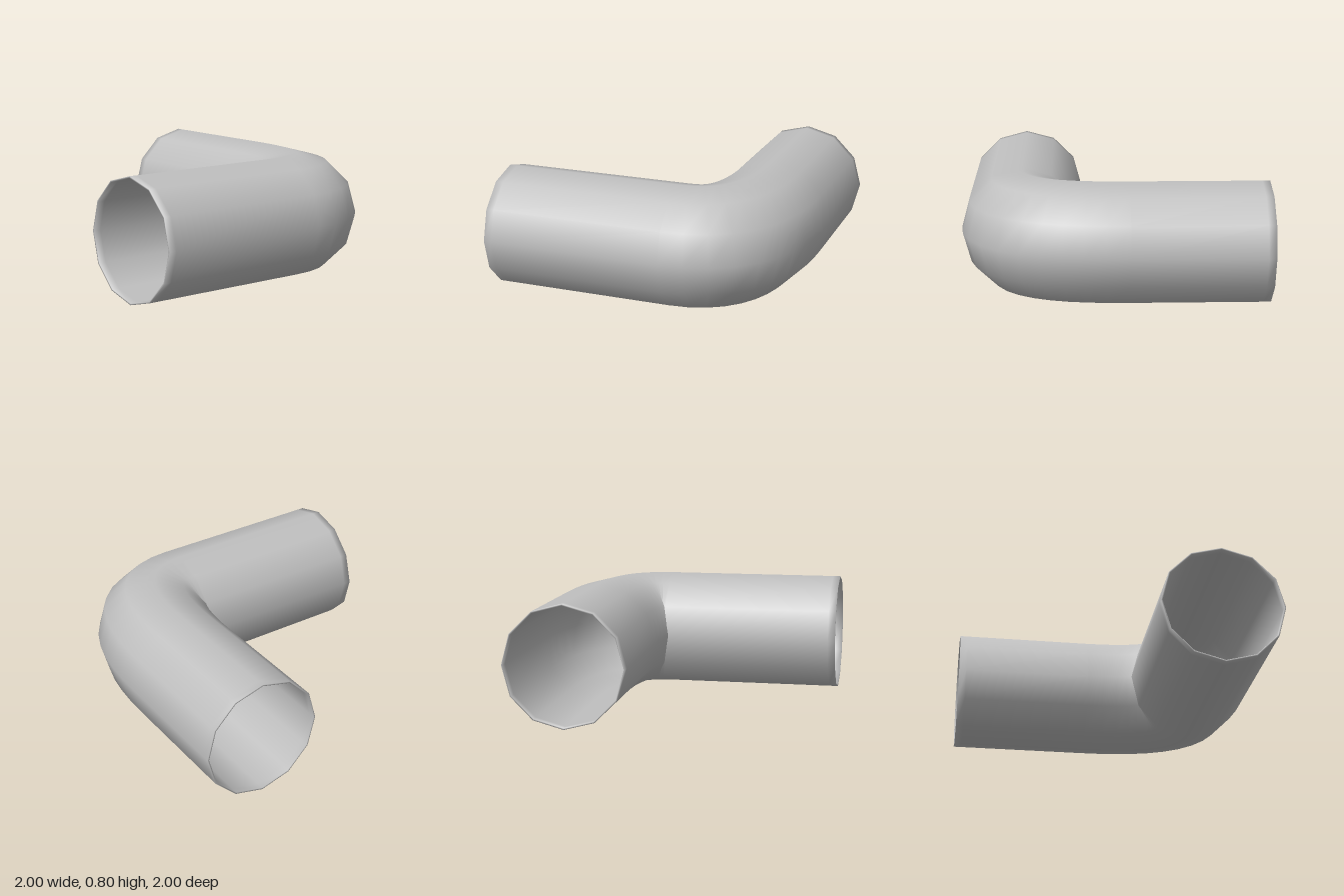
import * as THREE from 'three';

const SIDES = 12, OUTER = 0.4, INNER = 0.39, LIP = 0.05;

// Stations along the centre line: straight, smooth bend, straight
function centreLine() {
  const bend = new THREE.CubicBezierCurve3(
    new THREE.Vector3(-0.1, 0.4, -0.6), new THREE.Vector3(0.35, 0.4, -0.6),
    new THREE.Vector3(0.6, 0.4, -0.5), new THREE.Vector3(0.6, 0.4, -0.2));
  const alongX = new THREE.Vector3(1, 0, 0), alongZ = new THREE.Vector3(0, 0, 1);
  const stations = [-1, -1 + LIP].map(x => ({ p: new THREE.Vector3(x, 0.4, -0.6), t: alongX }));
  for (let i = 0; i <= 10; i++) {
    stations.push({ p: bend.getPoint(i / 10), t: bend.getTangent(i / 10) });
  }
  for (const z of [1 - LIP, 1]) stations.push({ p: new THREE.Vector3(0.6, 0.4, z), t: alongZ });
  return stations;
}

// Thin-walled sweep: outer skin forward, inner skin back, joined at both rims
function elbowGeometry() {
  const line = centreLine(), last = line.length - 1;
  const tilt = i => (i === 0 ? -1 : i === last ? 1 : 0); // softened rim normals
  const outer = line.map((s, i) => ({ ...s, r: OUTER, sign: 1, tilt: tilt(i) }));
  const inner = line.map((s, i) => ({ ...s, r: INNER, sign: -1, tilt: tilt(i) })).reverse();
  const rings = [...outer, ...inner];
  const positions = [], normals = [], index = [];
  const up = new THREE.Vector3(0, 1, 0);

  for (const { p, t, r, sign, tilt } of rings) {
    const side = new THREE.Vector3(t.z, 0, -t.x);
    for (let j = 0; j < SIDES; j++) {
      const a = (j / SIDES) * Math.PI * 2;
      const radial = side.clone().multiplyScalar(Math.cos(a)).addScaledVector(up, Math.sin(a));
      positions.push(...p.clone().addScaledVector(radial, r).toArray());
      normals.push(...radial.multiplyScalar(sign).addScaledVector(t, tilt).normalize().toArray());
    }
  }
  for (let i = 0; i < rings.length; i++) {
    const here = i * SIDES, next = ((i + 1) % rings.length) * SIDES;
    for (let j = 0; j < SIDES; j++) {
      const k = (j + 1) % SIDES;
      index.push(here + j, here + k, next + j, here + k, next + k, next + j);
    }
  }
  const geometry = new THREE.BufferGeometry();
  geometry.setAttribute('position', new THREE.Float32BufferAttribute(positions, 3));
  geometry.setAttribute('normal', new THREE.Float32BufferAttribute(normals, 3));
  geometry.setIndex(index);
  return geometry;
}

export function createModel() {
  const grey = new THREE.MeshStandardMaterial({ color: 0xc0c0c0, side: THREE.DoubleSide });
  grey.name = 'pipe grey';
  const pipe = new THREE.Mesh(elbowGeometry(), grey);
  pipe.name = 'elbowPipe';
  const model = new THREE.Group();
  model.name = 'pipeElbow';
  model.add(pipe);
  return model;
}
